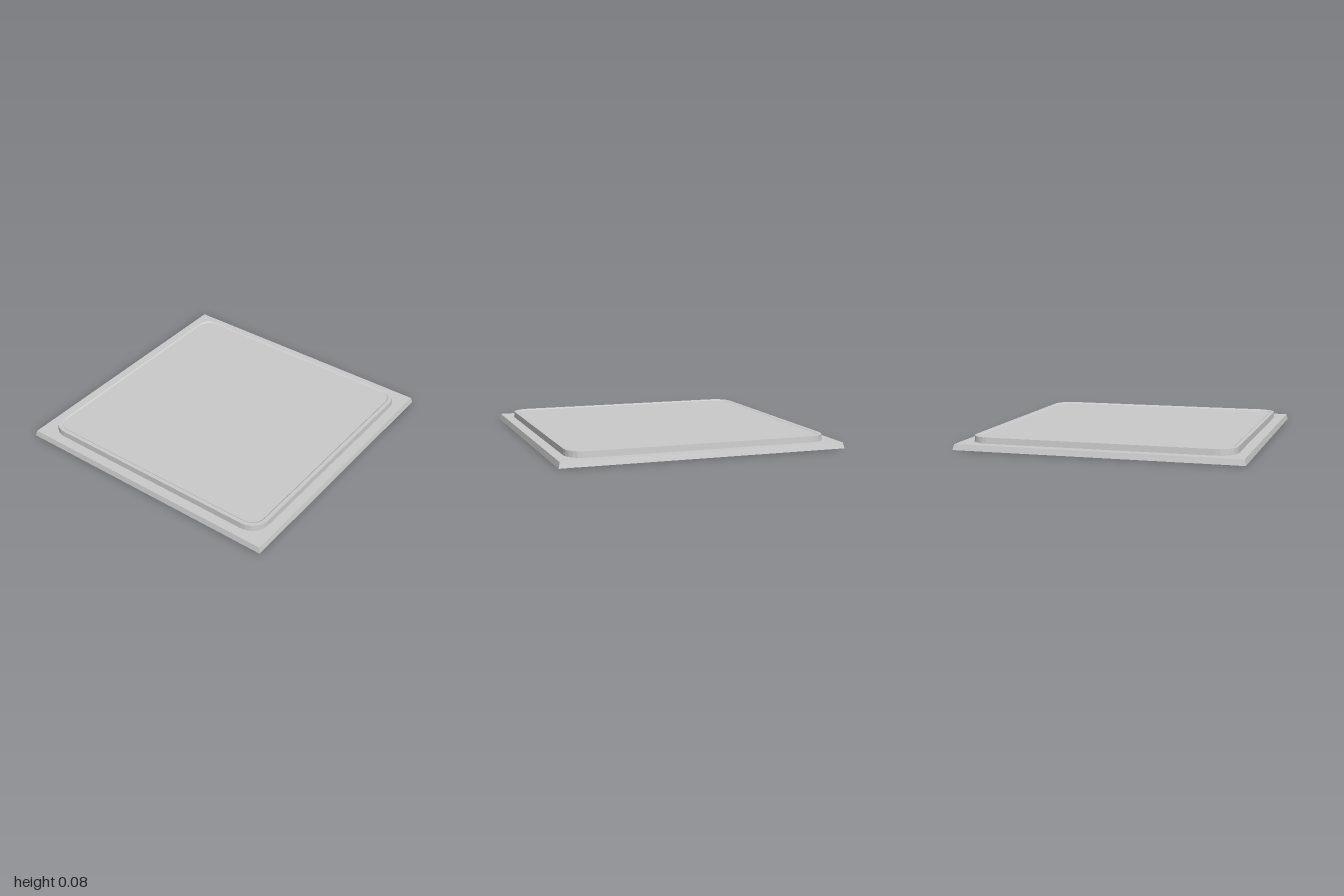
import * as THREE from 'three';

const CORNER_STEPS = 6;

// Rounded square ring, counter-clockwise seen from above
function ring(half, radius, y) {
  const points = [];
  for (let c = 0; c < 4; c++) {
    const mid = Math.PI / 4 + c * Math.PI / 2;
    const cx = Math.sign(Math.cos(mid)) * (half - radius);
    const cz = -Math.sign(Math.sin(mid)) * (half - radius);
    for (let s = 0; s <= CORNER_STEPS; s++) {
      const a = (c + s / CORNER_STEPS) * Math.PI / 2;
      points.push([cx + radius * Math.cos(a), y, cz - radius * Math.sin(a)]);
    }
  }
  return points;
}

// Skin a stack of rings from the bottom outwards and close the top with a fan
function loft(rings) {
  const n = rings[0].length;
  const positions = rings.flat(2);
  const index = [];
  for (let i = 0; i < rings.length - 1; i++) {
    for (let j = 0; j < n; j++) {
      const k = (j + 1) % n;
      const a = i * n + j, b = i * n + k;
      index.push(a, b, b + n, a, b + n, a + n);
    }
  }
  const last = (rings.length - 1) * n;
  const center = rings.length * n;
  positions.push(0, rings.at(-1)[0][1], 0);
  for (let j = 0; j < n; j++) index.push(last + j, last + (j + 1) % n, center);

  const geometry = new THREE.BufferGeometry();
  geometry.setAttribute('position', new THREE.Float32BufferAttribute(positions, 3));
  geometry.setIndex(index);
  geometry.computeVertexNormals();
  return geometry;
}

export function createModel() {
  const group = new THREE.Group();
  group.name = 'floorPlate';
  const material = new THREE.MeshStandardMaterial({ color: 0xcccccc, flatShading: true });

  // Square base slab with slightly sloping sides
  const baseGeometry = new THREE.CylinderGeometry(0.99 * Math.SQRT2, Math.SQRT2, 0.04, 4);
  baseGeometry.rotateY(Math.PI / 4).translate(0, 0.02, 0);
  const base = new THREE.Mesh(baseGeometry, material);
  base.name = 'base';
  group.add(base);

  // Raised rounded panel: wall, flat rim, bevel down to a shallow inset
  const panel = new THREE.Mesh(loft([
    ring(0.919, 0.13, 0.04),
    ring(0.916, 0.127, 0.082),
    ring(0.889, 0.1, 0.082),
    ring(0.878, 0.089, 0.076),
  ]), material);
  panel.name = 'raisedPanel';
  group.add(panel);

  return group;
}
